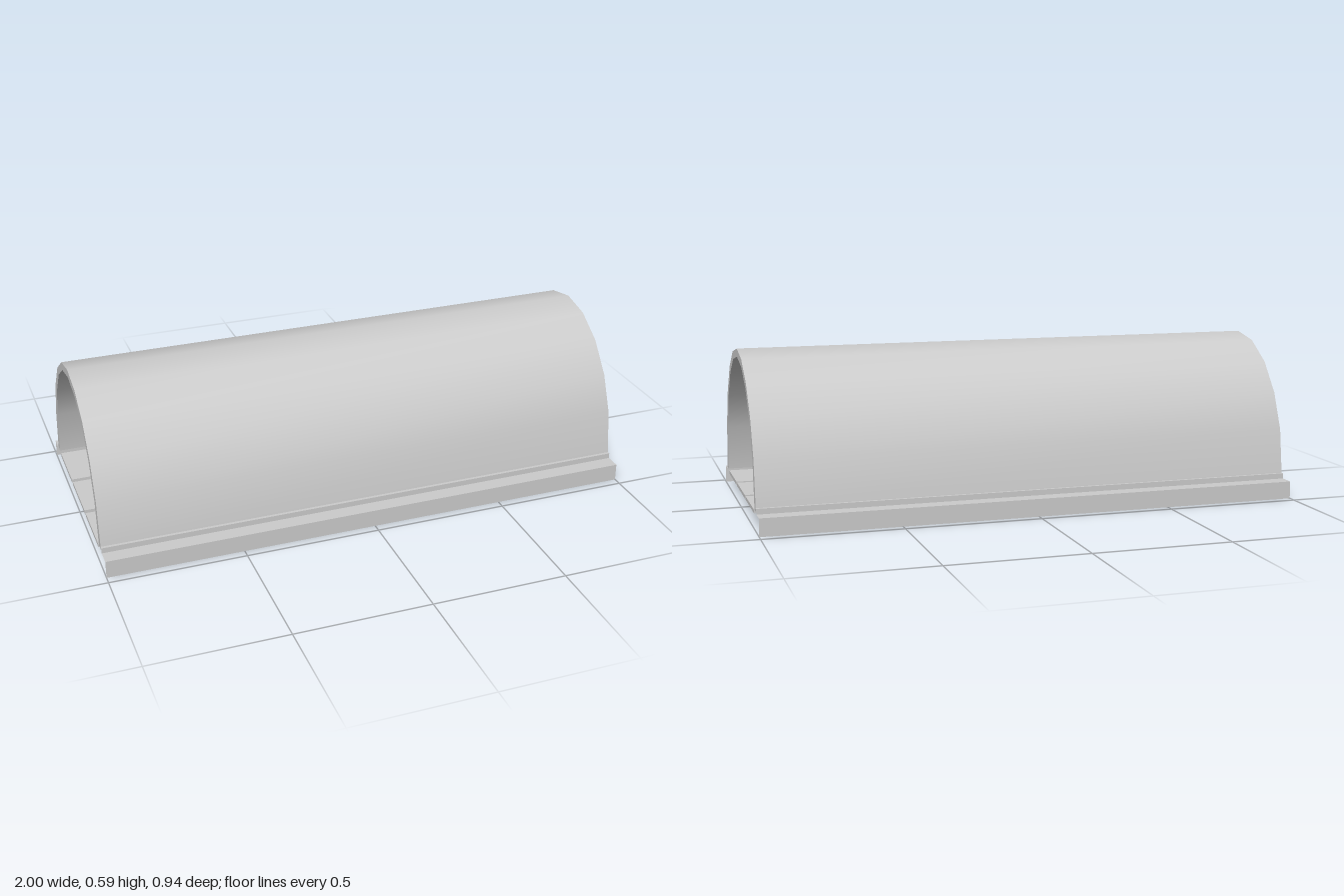
import * as THREE from 'three';
import { toCreasedNormals } from 'three/addons/utils/BufferGeometryUtils.js';

const LENGTH = 2;
const grey = new THREE.MeshStandardMaterial({ color: 0xcccccc });
const sheetGrey = new THREE.MeshStandardMaterial({ color: 0xcccccc, side: THREE.DoubleSide });

// Half profiles of the vault, from the foot to the crown: [z, y]
const OUTER = [[0.4, 0.073], [0.376, 0.25], [0.32, 0.384], [0.233, 0.493], [0.122, 0.564], [0, 0.588]];
const INNER = [[0.366, 0.073], [0.347, 0.241], [0.295, 0.37], [0.215, 0.472], [0.114, 0.536], [0, 0.558]];

// Whole arch from one half, running from +z over the crown to -z
function arch(half) {
  const mirrored = half.slice(0, -1).reverse().map(([z, y]) => [-z, y]);
  return [...half, ...mirrored].map(([z, y]) => new THREE.Vector2(z, y));
}

function createShell() {
  const shape = new THREE.Shape([...arch(OUTER), ...arch(INNER).reverse()]);
  const extruded = new THREE.ExtrudeGeometry(shape, { depth: LENGTH, bevelEnabled: false });
  extruded.translate(0, 0, -LENGTH / 2).rotateY(Math.PI / 2);
  const shell = new THREE.Mesh(toCreasedNormals(extruded, 0.6), grey);
  shell.name = 'vaultedShell';
  return shell;
}

// Thin folded sheet: fascia, ledge, and a small step that meets the shell
function createRail(side) {
  const profile = [[0.468, 0], [0.468, 0.065], [0.41, 0.065], [0.41, 0.085], [0.385, 0.085]];
  const sheet = new THREE.PlaneGeometry(LENGTH, 1, 1, profile.length - 1);
  const pos = sheet.attributes.position;
  for (let i = 0; i < pos.count; i++) {
    const [z, y] = profile[Math.floor(i / 2)];
    pos.setXYZ(i, pos.getX(i), y, side * z);
  }
  const folded = sheet.toNonIndexed();
  folded.computeVertexNormals();
  const rail = new THREE.Mesh(folded, sheetGrey);
  rail.name = side > 0 ? 'frontRail' : 'backRail';
  return rail;
}

// Three rows of rectangular slabs with narrow gaps
function createFloor() {
  const floor = new THREE.Group();
  floor.name = 'floor';
  const columns = 5, gap = 0.02;
  const width = (LENGTH - gap * (columns - 1)) / columns;
  const slab = new THREE.BoxGeometry(width, 0.013, 0.22);
  for (let row = -1; row <= 1; row++) {
    for (let c = 0; c < columns; c++) {
      const panel = new THREE.Mesh(slab, grey);
      panel.name = 'floorPanel';
      panel.position.set((c - (columns - 1) / 2) * (width + gap), 0.0625, row * 0.24);
      floor.add(panel);
    }
  }
  return floor;
}

export function createModel() {
  const model = new THREE.Group();
  model.name = 'vaultedTunnel';
  model.add(createShell(), createRail(1), createRail(-1), createFloor());
  return model;
}
